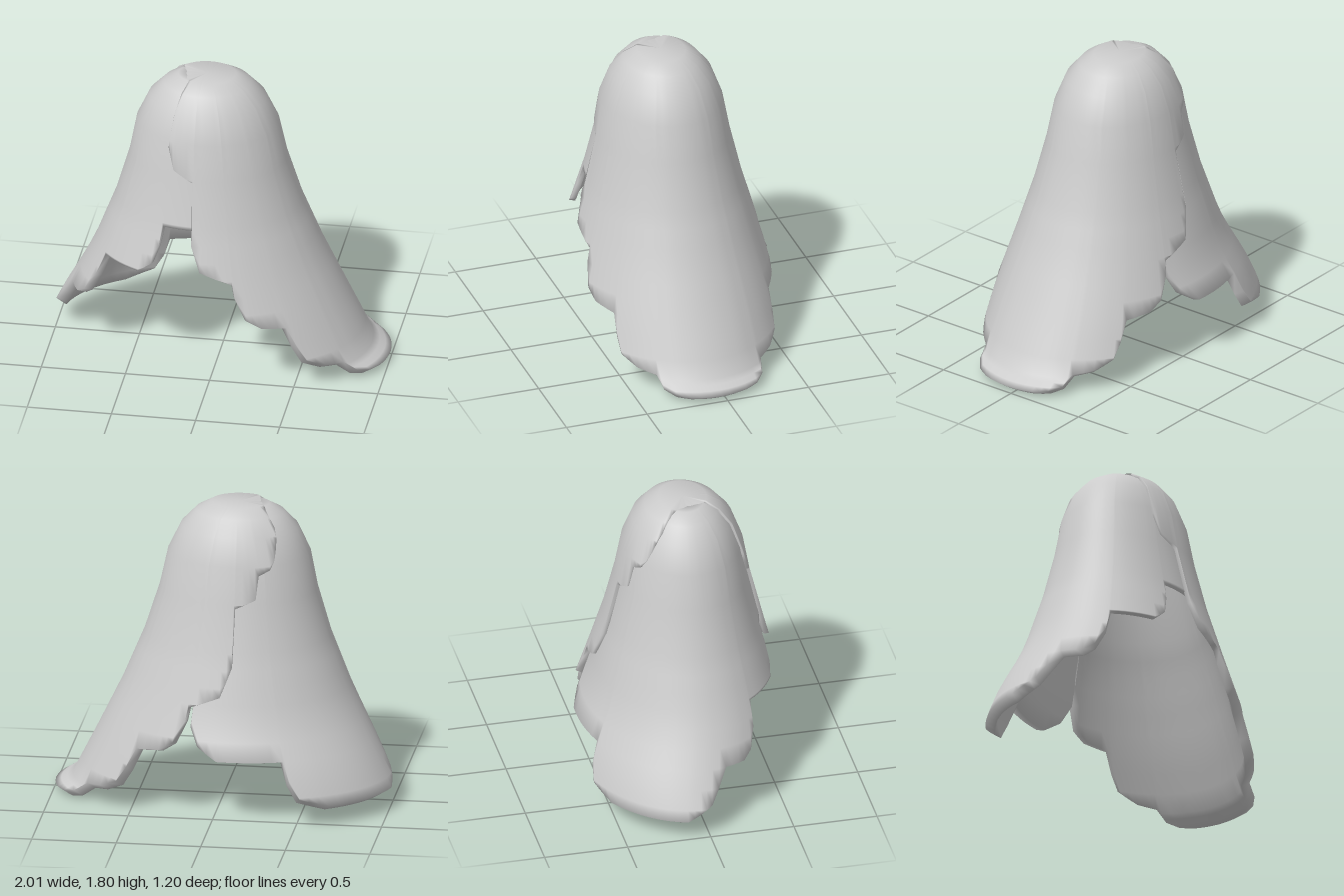
import * as THREE from 'three';
import { mergeVertices } from 'three/addons/utils/BufferGeometryUtils.js';

const { lerp, clamp, smoothstep } = THREE.MathUtils;

// Bell profile: height, half width in x, half depth in z (above 1.8 is the flat crown)
const PROFILE = [
  [1.9, 0, 0], [1.8, 0.17, 0.14], [1.75, 0.26, 0.22], [1.66, 0.345, 0.295], [1.5, 0.42, 0.355],
  [1.28, 0.465, 0.395], [1.0, 0.55, 0.46], [0.7, 0.67, 0.545], [0.4, 0.81, 0.63],
  [0.1, 0.955, 0.69], [0.04, 1.06, 0.7],
];

function radiiAt(y) {
  let i = 0;
  while (i < PROFILE.length - 2 && PROFILE[i + 1][0] > y) i++;
  const [a, b] = [PROFILE[i], PROFILE[i + 1]];
  const k = (a[0] - y) / (a[0] - b[0]);
  return [lerp(a[1], b[1], k), lerp(a[2], b[2], k)];
}

// Row heights: one per profile step, finer below the shoulders
const LEVELS = [];
for (let i = 0; i < PROFILE.length - 1; i++) {
  const n = PROFILE[i][0] > 1 ? 1 : 3;
  for (let k = 0; k < n; k++) LEVELS.push(lerp(PROFILE[i][0], PROFILE[i + 1][0], k / n));
}
LEVELS.push(0.04);

// Point on the bell, pushed inward by inset; low down the layer may drift sideways
function bellPoint(deg, y, inset, layer) {
  const a = THREE.MathUtils.degToRad(deg);
  const [rx, rz] = radiiAt(y);
  const drift = 1 - smoothstep(y, 0.2, 0.65);
  const cx = -0.09 + 0.03 * (1.8 - Math.min(y, 1.8)) / 1.8 + layer.shiftX + layer.driftX * drift;
  const cz = 0.04 + layer.driftZ * drift;
  // the flared skirt and the crown are also offset downward
  const drop = 0.35 * clamp((y - 1.4) / 0.4, 0, 1) + 0.7 * (1 - smoothstep(y, 0, 0.8));
  return [
    cx + Math.max(0, rx - inset) * Math.cos(a),
    Math.min(y, 1.8) - inset * drop,
    cz + Math.max(0, rz - inset) * Math.sin(a),
  ];
}

// Thick cloth layer hanging from the crown to a hem given as [angle, height] points
function clothLayer(name, hem, layer) {
  const columns = [];
  for (let i = 0; i < hem.length - 1; i++) {
    const n = Math.max(1, Math.ceil((hem[i + 1][0] - hem[i][0]) / 5));
    for (let k = 0; k < n; k++)
      columns.push([lerp(hem[i][0], hem[i + 1][0], k / n), lerp(hem[i][1], hem[i + 1][1], k / n)]);
  }
  columns.push(hem[hem.length - 1]);

  const positions = [];
  const index = [];
  const rows = LEVELS.length * 2;
  columns.forEach(([deg, hemY], i) => {
    const outer = [];
    const inner = [];
    for (const level of LEVELS) {
      const y = Math.max(level, hemY);
      const thick = 0.028 + 0.027 * clamp((0.8 - y) / 0.4, 0, 1);
      outer.push(bellPoint(deg, y, layer.inset, layer));
      inner.unshift(bellPoint(deg, y, layer.inset + thick, layer));
    }
    positions.push(...[...outer, ...inner].flat());
    if (i === columns.length - 1) return;
    for (let j = 0; j < rows - 1; j++) {
      const a = i * rows + j;
      const c = a + rows;
      index.push(a, c, a + 1, c, c + 1, a + 1);
    }
  });

  let geometry = new THREE.BufferGeometry();
  geometry.setAttribute('position', new THREE.Float32BufferAttribute(positions, 3));
  geometry.setIndex(index);
  geometry = mergeVertices(geometry, 1e-4);
  // Drop the triangles that collapsed at the hem
  const id = geometry.index.array;
  const kept = [];
  for (let i = 0; i < id.length; i += 3) {
    const [a, b, c] = [id[i], id[i + 1], id[i + 2]];
    if (a !== b && b !== c && c !== a) kept.push(a, b, c);
  }
  geometry.setIndex(kept);
  geometry.computeVertexNormals();
  const mesh = new THREE.Mesh(
    geometry,
    new THREE.MeshStandardMaterial({ color: 0xcccccc, side: THREE.DoubleSide }),
  );
  mesh.name = name;
  return mesh;
}

export function createModel() {
  const group = new THREE.Group();
  group.name = 'layeredCloth';

  // Stepped lower hem of the left layer, mirrored front to back
  const skirt = [
    [0, 0.04], [14, 0.04], [21, 0.045], [26, 0.065], [28, 0.12], [37, 0.14], [45, 0.19],
    [47.5, 0.28], [49.5, 0.4], [61, 0.42], [67, 0.47], [71, 0.6], [71.5, 0.68],
  ];
  const leftHem = [
    ...skirt,
    // front seam up to the crown
    [88, 0.75], [93, 0.9], [94, 1.27], [109, 1.33], [115, 1.46], [116, 1.64], [118, 1.75],
    [122, 1.8], [150, 1.825], [180, 1.83], [205, 1.81],
    // back seam, stepping down again
    [217, 1.78], [222, 1.7], [233, 1.53], [238, 1.48], [248, 1.45], [251, 1.31], [266, 1.26],
    [267, 0.92], [273, 0.75],
    ...skirt.map(([a, y]) => [360 - a, y]).reverse(),
  ];
  group.add(clothLayer('leftLayer', leftHem, { inset: 0, shiftX: 0, driftX: 0, driftZ: 0 }));

  // Under layer: high scalloped front, long back
  const rightHem = [
    [84, 1.89], [85, 0.98], [110, 0.98], [111, 0.86], [114, 0.75], [121, 0.69], [148, 0.69],
    [149, 0.55], [152, 0.44], [157, 0.4], [169, 0.4], [173, 0.3], [177, 0.22], [183, 0.18],
    [190, 0.14], [230, 0.14], [242, 0.19], [245, 0.28], [246, 0.4], [275, 0.4], [284, 0.47],
    [288.5, 0.57], [289, 0.68], [290, 1.2], [291, 1.89],
  ];
  group.add(clothLayer('rightLayer', rightHem, {
    inset: 0.022, shiftX: -0.022, driftX: -0.025, driftZ: -0.06,
  }));
  return group;
}
